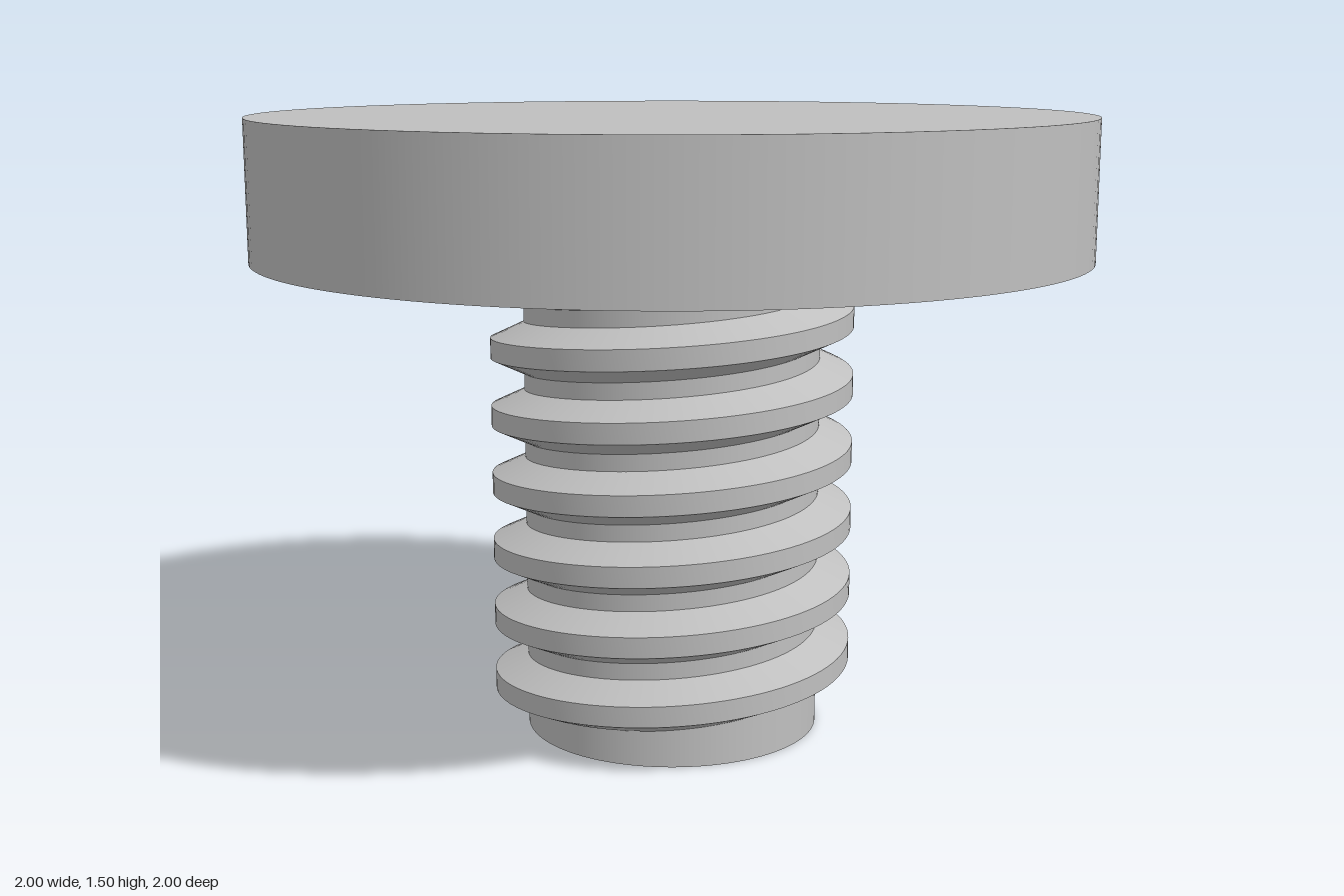
import * as THREE from 'three';

const CORE = 0.36, CREST = 0.441;       // radii of shank and thread crest
const LOW = 0.088, HIGH = 1.086;        // flat cuts at both thread ends
const PITCH = (HIGH - LOW) / 6;
const HALF_FLAT = 0.025, HALF_BASE = 0.063;
const STEPS = 96;                       // sections per turn

// Radius of the trapezoid thread at height d from its centre line
function threadRadius(d) {
  const k = THREE.MathUtils.clamp((HALF_BASE - Math.abs(d)) / (HALF_BASE - HALF_FLAT), 0, 1);
  return CORE + (CREST - CORE) * k;
}

// Cross-section [radius, y] at centre height c, trimmed to the end planes
function section(c) {
  const pts = [-HALF_BASE, -HALF_FLAT, HALF_FLAT, HALF_BASE].map((d) => {
    const y = THREE.MathUtils.clamp(c + d, LOW, HIGH);
    return [threadRadius(y - c), y];
  });
  const root = CORE - 0.01;
  return [[root, pts[0][1]], ...pts, [root, pts[3][1]]];
}

// One helical band between neighbouring profile points
function threadBand(i) {
  const start = -HALF_BASE / PITCH, end = 6 + HALF_BASE / PITCH;
  const n = Math.ceil((end - start) * STEPS);
  const pos = [], idx = [];
  for (let s = 0; s <= n; s++) {
    const t = start + ((end - start) * s) / n;
    const a = t * Math.PI * 2;
    const profile = section(LOW + PITCH * t);
    for (const [r, y] of [profile[i], profile[i + 1]]) pos.push(-Math.cos(a) * r, y, Math.sin(a) * r);
    if (s < n) {
      const k = s * 2;
      idx.push(k, k + 2, k + 1, k + 1, k + 2, k + 3);
    }
  }
  const g = new THREE.BufferGeometry();
  g.setAttribute('position', new THREE.Float32BufferAttribute(pos, 3));
  g.setIndex(idx);
  g.computeVertexNormals();
  return g;
}

export function createModel() {
  const model = new THREE.Group();
  model.name = 'thumbScrew';
  const steel = new THREE.MeshStandardMaterial({ color: 0xbfbfbf });
  steel.name = 'grey steel';

  const disc = (name, radius, y0, y1) => {
    const mesh = new THREE.Mesh(new THREE.CylinderGeometry(radius, radius, y1 - y0, 128), steel);
    mesh.position.y = (y0 + y1) / 2;
    mesh.name = name;
    model.add(mesh);
  };
  disc('head', 1, 1.17, 1.503);
  disc('shank', CORE, 0, 1.17);

  // Thread: lower cut, lower flank, crest, upper flank, upper cut
  const thread = new THREE.Group();
  thread.name = 'thread';
  ['lowerCut', 'lowerFlank', 'crest', 'upperFlank', 'upperCut'].forEach((name, i) => {
    const mesh = new THREE.Mesh(threadBand(i), steel);
    mesh.name = name;
    thread.add(mesh);
  });
  model.add(thread);
  return model;
}
